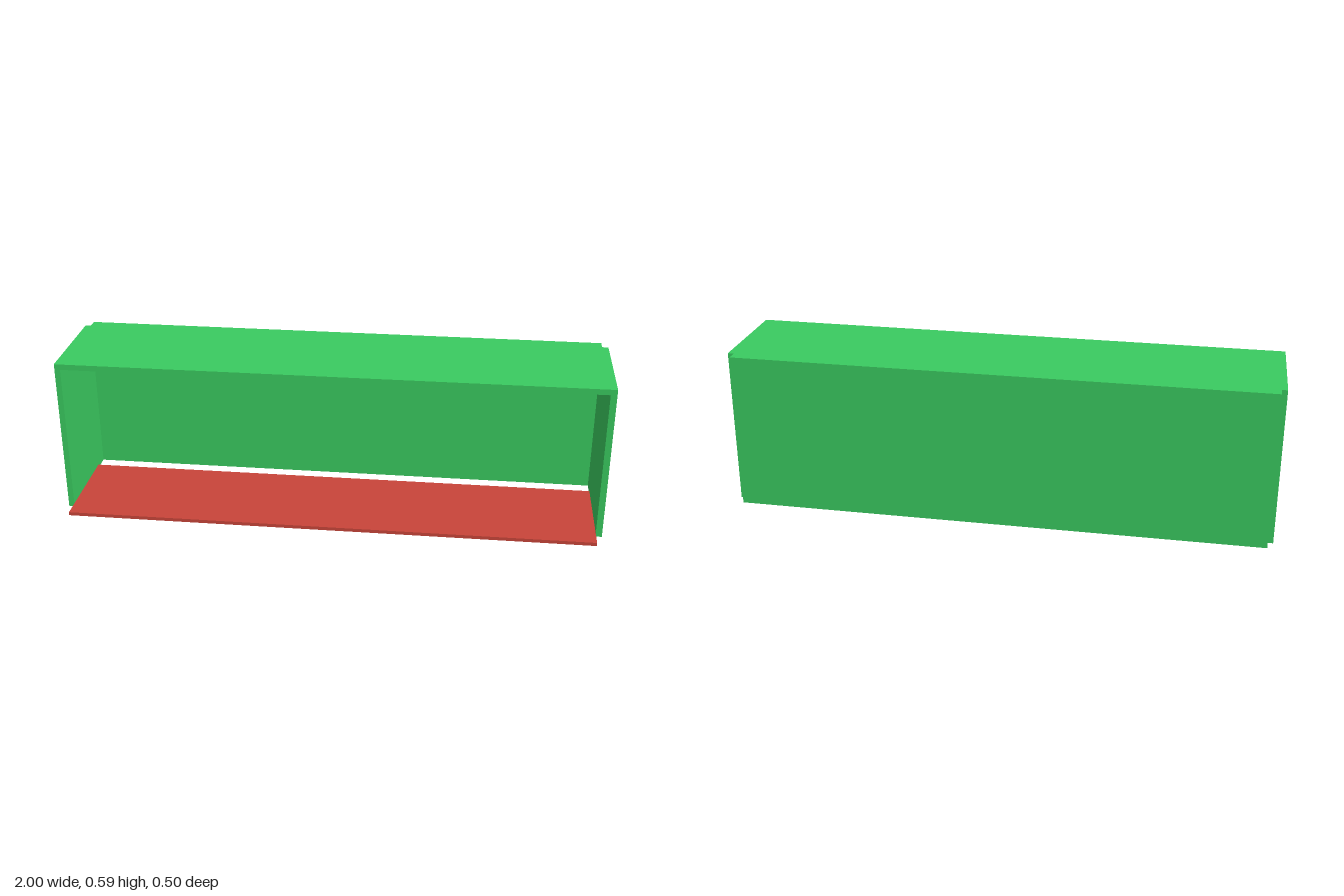
import * as THREE from 'three';

const green = new THREE.MeshStandardMaterial({ color: 0x3acb60 });
const red = new THREE.MeshStandardMaterial({ color: 0xc9453a });

// Flat board given by its extents on each axis
function board(name, [x0, x1], [y0, y1], [z0, z1], material) {
  const mesh = new THREE.Mesh(new THREE.BoxGeometry(x1 - x0, y1 - y0, z1 - z0), material);
  mesh.name = name;
  mesh.position.set((x0 + x1) / 2, (y0 + y1) / 2, (z0 + z1) / 2);
  return mesh;
}

export function createModel() {
  const group = new THREE.Group();
  group.name = 'openCabinet';

  const inner = [-0.979, 0.977];
  const height = [0, 0.587];
  const depth = [-0.207, 0.182];

  // Side walls
  group.add(board('rightSide', [-1, inner[0]], height, depth, green));
  group.add(board('leftSide', [inner[1], 1], height, depth, green));

  // Top board between the sides, and the back board behind them
  group.add(board('top', inner, [0.566, 0.587], depth, green));
  group.add(board('back', inner, height, [-0.247, -0.207], green));

  // Bottom board, slid forward so it leaves a gap at the back
  group.add(board('bottomShelf', inner, [0, 0.013], [-0.138, 0.249], red));

  return group;
}
